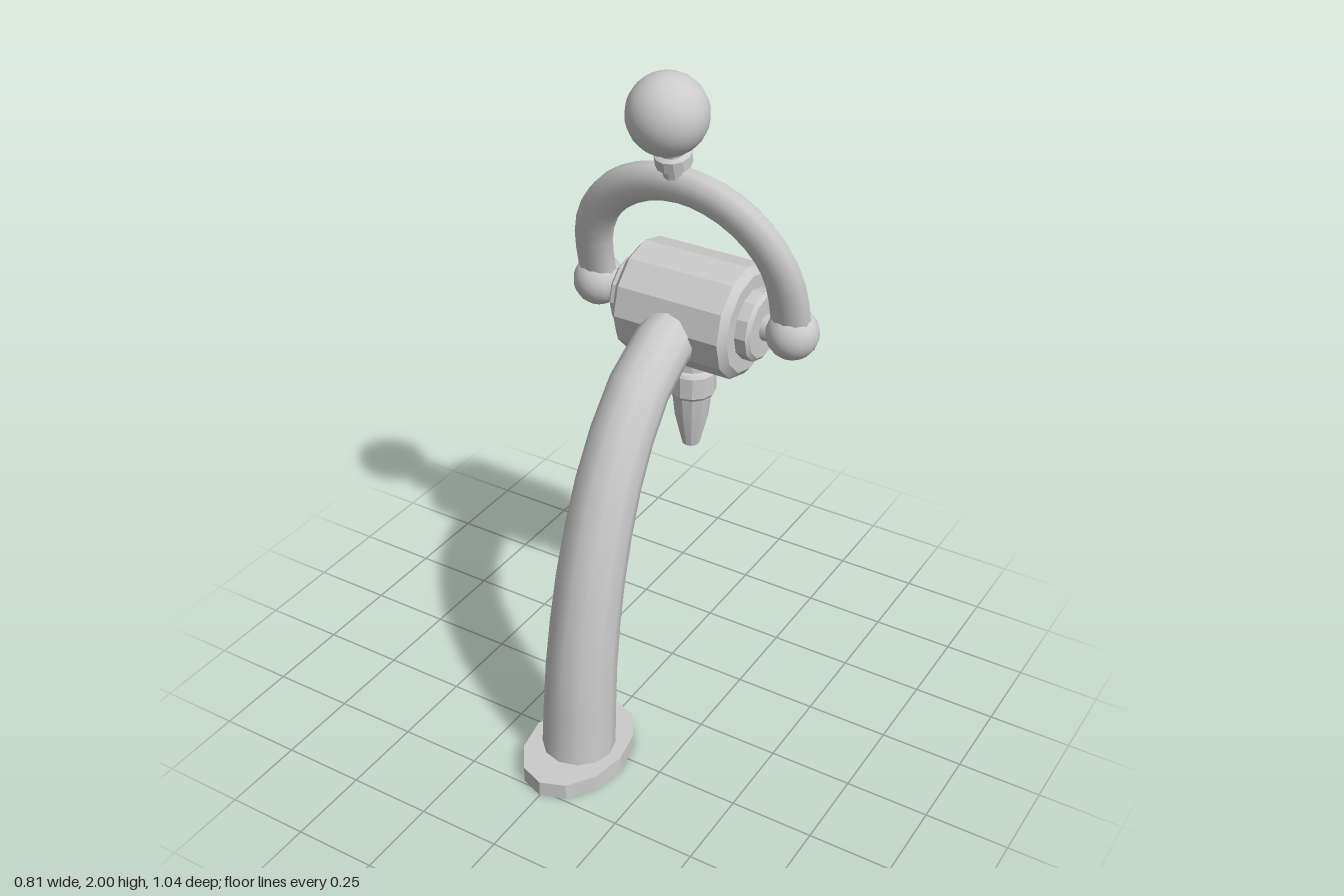
import * as THREE from 'three';
import { toCreasedNormals } from 'three/addons/utils/BufferGeometryUtils.js';

const material = new THREE.MeshStandardMaterial({ color: 0xcccccc });

function add(parent, name, geometry, x = 0, y = 0, z = 0) {
  const mesh = new THREE.Mesh(geometry, material);
  mesh.name = name;
  mesh.position.set(x, y, z);
  parent.add(mesh);
  return mesh;
}

// Turned part from [radius, height] pairs, listed bottom to top
function turned(points, sides, crease = 0.45) {
  const profile = points.map(([r, h]) => new THREE.Vector2(r, h));
  return toCreasedNormals(new THREE.LatheGeometry(profile, sides), crease);
}

// Tube along a curve that narrows towards its end
function taperedTube(curve, rings, sides, startRadius, endRadius) {
  const geometry = new THREE.TubeGeometry(curve, rings, startRadius, sides);
  const position = geometry.attributes.position;
  const v = new THREE.Vector3();
  for (let i = 0; i <= rings; i++) {
    const centre = curve.getPointAt(i / rings);
    const scale = THREE.MathUtils.lerp(1, endRadius / startRadius, i / rings);
    for (let j = 0; j <= sides; j++) {
      const k = i * (sides + 1) + j;
      v.fromBufferAttribute(position, k).sub(centre).multiplyScalar(scale).add(centre);
      position.setXYZ(k, v.x, v.y, v.z);
    }
  }
  return geometry;
}

export function createModel() {
  const model = new THREE.Group();
  model.name = 'beerTap';

  // Oval foot plate
  const foot = turned([[0, 0], [1, 0], [1, 0.05], [0, 0.05]], 12);
  foot.scale(0.147, 1, 0.213);
  add(model, 'footPlate', foot, 0, 0, 0.305);

  // Curved column running into the barrel
  const path = new THREE.CatmullRomCurve3([
    [0.305, 0.04], [0.28, 0.35], [0.213, 0.66], [0.1, 0.93],
    [-0.05, 1.12], [-0.2, 1.2], [-0.3, 1.22],
  ].map(([z, y]) => new THREE.Vector3(0, y, z)));
  add(model, 'column', taperedTube(path, 10, 12, 0.11, 0.085));

  // Horizontal barrel with chamfered ends, end discs and pivot shaft
  const barrel = new THREE.Group();
  barrel.name = 'barrel';
  barrel.position.set(0, 1.228, -0.35);
  barrel.rotation.z = Math.PI / 2;
  model.add(barrel);
  add(barrel, 'barrelBody', turned([
    [0, -0.19], [0.15, -0.19], [0.174, -0.17], [0.174, 0.17], [0.15, 0.19], [0, 0.19],
  ], 12));
  add(barrel, 'endDiscs', turned([
    [0, -0.235], [0.095, -0.235], [0.107, -0.225], [0.107, 0.225], [0.095, 0.235], [0, 0.235],
  ], 12));
  add(barrel, 'pivotShaft', new THREE.CylinderGeometry(0.04, 0.04, 0.6, 12));

  // Spout hanging below the barrel
  add(model, 'spout', turned([
    [0, 0.765], [0.027, 0.765], [0.051, 0.865], [0.06, 0.945], [0.066, 0.945], [0.073, 0.955],
    [0.073, 1.022], [0.066, 1.032], [0.055, 1.035], [0.055, 1.1],
  ], 12), 0, 0, -0.345);

  // Handle leaning forward about the pivot
  const handle = new THREE.Group();
  handle.name = 'handle';
  handle.position.set(0, 1.237, -0.342);
  handle.rotation.x = 0.243;
  model.add(handle);

  const legs = [];
  for (let i = 0; i <= 12; i++) {
    const a = (i / 12) * Math.PI;
    legs.push(new THREE.Vector3(0.322 * Math.cos(a), 0.11 + 0.328 * Math.sin(a), 0));
  }
  legs.unshift(new THREE.Vector3(0.322, 0, 0));
  legs.push(new THREE.Vector3(-0.322, 0, 0));
  const arch = new THREE.TubeGeometry(new THREE.CatmullRomCurve3(legs), 22, 0.06, 10);
  arch.scale(1, 1, 0.75); // slightly flattened section
  add(handle, 'handleArch', arch);
  for (const side of [-1, 1]) {
    add(handle, side < 0 ? 'rightPivotBall' : 'leftPivotBall',
      new THREE.SphereGeometry(0.078, 16, 12), side * 0.325, 0, 0);
  }

  // Knob on its collar
  add(handle, 'knobCollar', turned([
    [0.037, 0.42], [0.037, 0.5], [0.053, 0.507], [0.053, 0.54], [0.04, 0.547], [0.04, 0.6],
  ], 12));
  add(handle, 'knob', new THREE.SphereGeometry(0.116, 20, 16), 0, 0.667, 0);

  return model;
}
